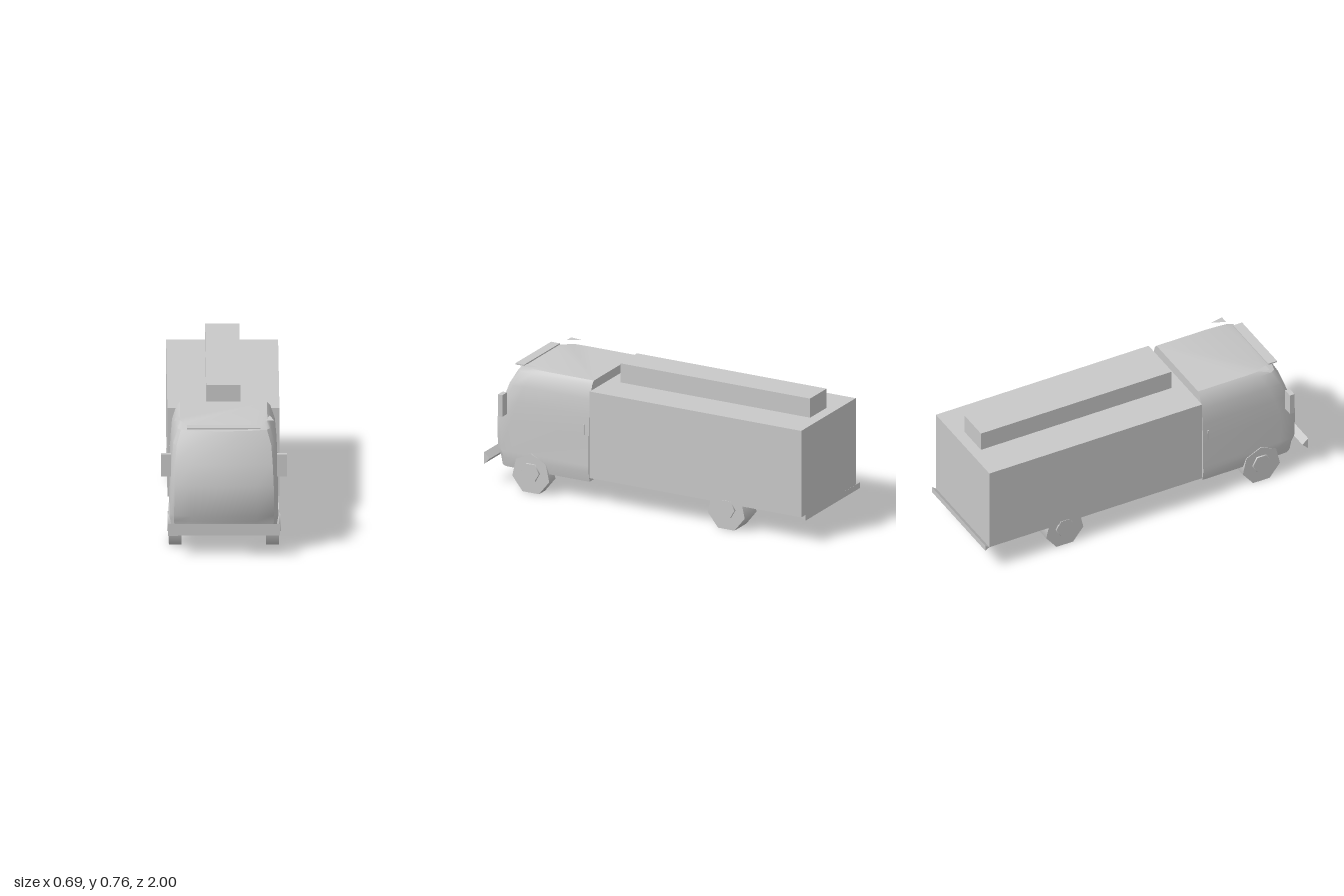
import * as THREE from 'three';
import { toCreasedNormals } from 'three/addons/utils/BufferGeometryUtils.js';

export function createModel() {
  const truck = new THREE.Group();
  truck.name = 'boxTruck';
  const grey = new THREE.MeshStandardMaterial({ color: 0xc8c8c8 });
  grey.name = 'lightGrey';
  const greySheet = new THREE.MeshStandardMaterial({ color: 0xc8c8c8, side: THREE.DoubleSide });
  greySheet.name = 'lightGreySheet';

  function add(name, geometry, material = grey) {
    const mesh = new THREE.Mesh(geometry, material);
    mesh.name = name;
    truck.add(mesh);
    return mesh;
  }
  // box given by its limits
  function box(name, x0, x1, y0, y1, z0, z1) {
    const mesh = add(name, new THREE.BoxGeometry(x1 - x0, y1 - y0, z1 - z0));
    mesh.position.set((x0 + x1) / 2, (y0 + y1) / 2, (z0 + z1) / 2);
    return mesh;
  }
  // prism across the width from a [z, y] outline
  function prism(name, points, halfWidth) {
    const shape = new THREE.Shape(points.map(([z, y]) => new THREE.Vector2(-z, y)));
    const geometry = new THREE.ExtrudeGeometry(shape, { depth: halfWidth * 2, bevelEnabled: false });
    geometry.translate(0, 0, -halfWidth).rotateY(Math.PI / 2);
    return add(name, geometry);
  }
  // flat triangle sheet
  function triangle(name, corners) {
    const geometry = new THREE.BufferGeometry();
    geometry.setAttribute('position', new THREE.Float32BufferAttribute(corners.flat(), 3));
    geometry.computeVertexNormals();
    return add(name, geometry, greySheet);
  }

  // cab: rounded-front plan outlines stacked upwards as [y, half width, front z]
  const levels = [
    [0.12, 0.285, 0.94], [0.18, 0.297, 0.945], [0.215, 0.295, 0.965], [0.387, 0.294, 0.97],
    [0.5, 0.288, 0.935], [0.595, 0.28, 0.9], [0.67, 0.255, 0.86], [0.69, 0.237, 0.79],
  ];
  // half of the plan: [share of half width, setback from the front]
  const plan = [[1, 0.13], [0.985, 0.06], [0.92, 0.032], [0.6, 0.013]];
  const cabBack = 0.355;
  const rings = levels.map(([y, w, front]) => {
    const side = plan.map(([s, d]) => [s * w, y, front - d]);
    const mirrored = side.map(([x, h, z]) => [-x, h, z]).reverse();
    return [[w, y, cabBack], ...side, [0, y, front], ...mirrored, [-w, y, cabBack]];
  });
  const n = rings[0].length;
  const index = [];
  for (let r = 0; r < rings.length - 1; r++) {
    for (let i = 0; i < n; i++) {
      const a = r * n + i, b = r * n + (i + 1) % n;
      index.push(a, a + n, b, b, a + n, b + n);
    }
  }
  const top = (rings.length - 1) * n;
  for (let i = 1; i < n - 1; i++) {
    index.push(0, i, i + 1);
    index.push(top, top + i + 1, top + i);
  }
  const cab = new THREE.BufferGeometry();
  cab.setAttribute('position', new THREE.Float32BufferAttribute(rings.flat(2), 3));
  cab.setIndex(index);
  add('cab', toCreasedNormals(cab, 0.6));

  // roof visor strip and bumpers
  box('roofVisor', -0.2, 0.2, 0.684, 0.691, 0.81, 0.865);
  prism('frontBumper', [[1, 0.187], [1, 0.12], [0.965, 0.155]], 0.305);
  prism('rearBumper', [[-1, 0.168], [-0.975, 0.15], [-1, 0.135]], 0.305);

  // cargo body and roof box
  box('cargoBody', -0.305, 0.305, 0.15, 0.65, -0.975, 0.343);
  box('roofBox', -0.093, 0.093, 0.648, 0.76, -0.912, 0.27);
  box('cabCoupling', -0.13, 0.13, 0.15, 0.3, 0.335, 0.36);

  // chassis rails barely proud of the floor
  for (const s of [-1, 1]) box('chassisRail', s * 0.13 - 0.02, s * 0.13 + 0.02, 0.143, 0.152, -0.95, 0.36);

  // seven-sided wheels with a hexagonal hub
  function wheel(name, side, inner, z) {
    const width = 0.3 - inner;
    const tyre = new THREE.CylinderGeometry(0.118, 0.118, width, 7).rotateZ(-Math.PI / 2);
    // turn so that one corner points down
    const p = tyre.attributes.position;
    let low = 0;
    for (let i = 0; i < p.count; i++) if (p.getY(i) < p.getY(low)) low = i;
    tyre.rotateX(-Math.PI / 2 + Math.atan2(p.getY(low), -p.getZ(low)) + Math.PI);
    const mesh = add(name, tyre);
    // settle onto the ground
    tyre.computeBoundingBox();
    mesh.position.set(side * (inner + width / 2), -tyre.boundingBox.min.y, z);
    const hub = add(name + 'Hub', new THREE.CylinderGeometry(0.055, 0.062, 0.02, 6).rotateZ(-side * Math.PI / 2));
    hub.position.set(side * 0.297, 0.118, z);
  }

  for (const s of [-1, 1]) {
    wheel('frontWheel', s, 0.23, 0.713);
    wheel('rearWheel', s, 0.167, -0.505);
    // mirrors, door handles
    box('mirror', s * 0.3165 - 0.0275, s * 0.3165 + 0.0275, 0.425, 0.55, 0.866, 0.894);
    box('doorHandle', s * 0.293 - 0.004, s * 0.293 + 0.004, 0.39, 0.45, 0.382, 0.39);
    // marker triangles above the roof and on the rear
    triangle('roofMarker', [[s * 0.25, 0.714, 0.7], [s * 0.25 - 0.024, 0.708, 0.78], [s * 0.25 + 0.024, 0.708, 0.78]]);
    const x = s * 0.24;
    triangle('rearReflector', [[x + 0.036, 0.24, -0.98], [x + 0.036, 0.193, -0.98], [x - 0.036, 0.21, -0.98]]);
  }
  return truck;
}
